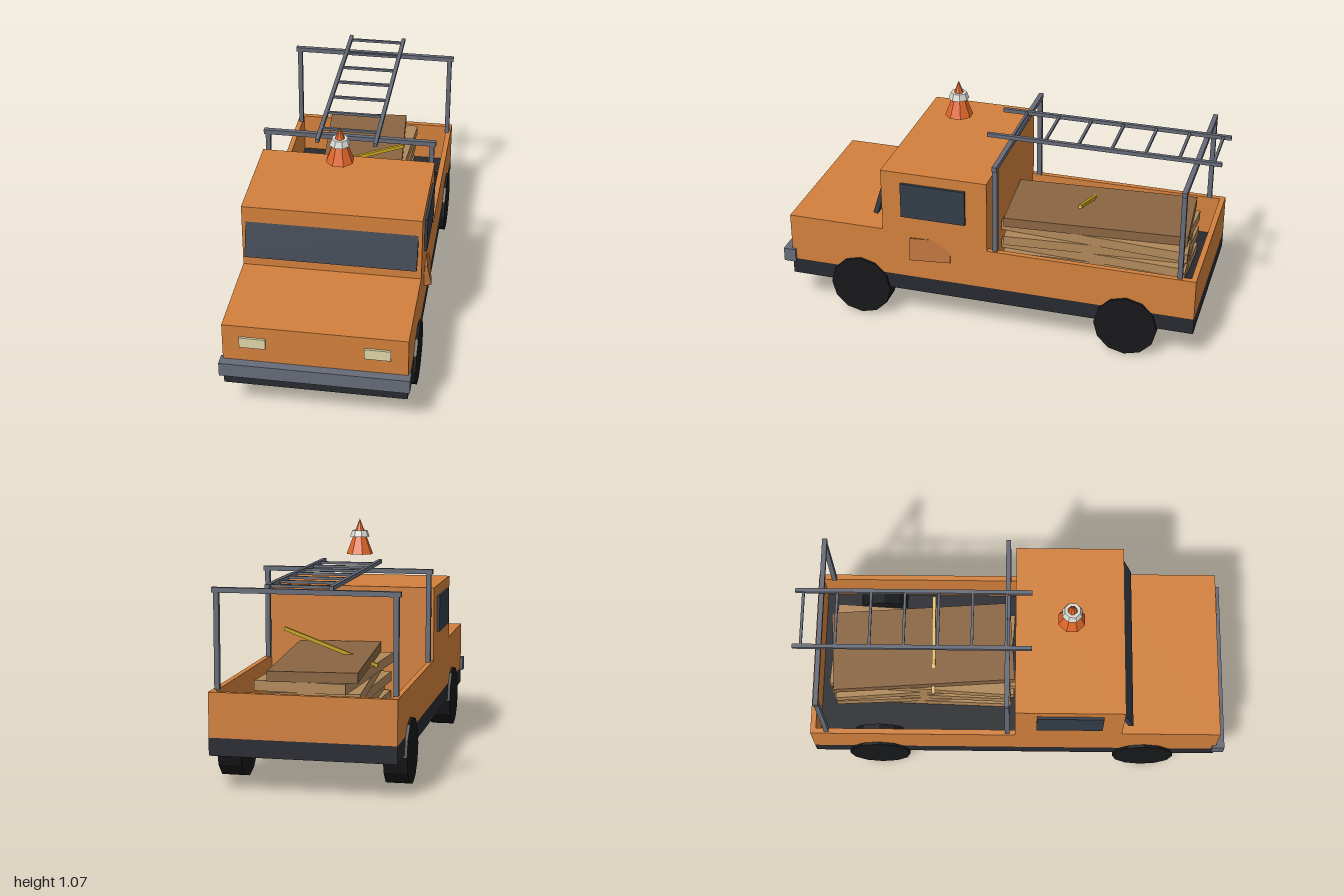
import * as THREE from 'three';

const mat = (color, extra = {}) => new THREE.MeshStandardMaterial({ color, flatShading: true, ...extra });

export function createModel() {
  const model = new THREE.Group();
  // The truck's own centre line sits slightly to the right of the origin
  const truck = new THREE.Group();
  truck.name = 'workTruck';
  truck.position.x = -0.012;
  model.add(truck);

  const paint = mat(0xd2803c), dark = mat(0x282a30), rubber = mat(0x17181a), steel = mat(0x666b78);
  const glass = mat(0x333c48), lampMat = mat(0xddd5a8), boardLight = mat(0xb0885a), boardDark = mat(0x8a6542);
  const dentMat = mat(0xb56d36), strapMat = mat(0xc4a41e), coneMat = mat(0xe0662a), bandMat = mat(0xd8d8d2);

  const add = (name, geometry, material, x, y, z) => {
    const mesh = new THREE.Mesh(geometry, material);
    mesh.name = name;
    mesh.position.set(x, y, z);
    truck.add(mesh);
    return mesh;
  };
  // Box given by its x centre and width, and its y and z ranges
  const box = (name, material, x, w, y0, y1, z0, z1) =>
    add(name, new THREE.BoxGeometry(w, y1 - y0, z1 - z0), material, x, (y0 + y1) / 2, (z0 + z1) / 2);

  // Chassis, hood and cab
  const W = 0.805;
  box('chassis', dark, 0, W, 0.155, 0.232, -0.96, 0.96);
  box('hood', paint, 0, W, 0.232, 0.465, 0.5, 0.96);
  box('cab', paint, 0, W, 0.232, 0.77, 0, 0.5);
  box('frontBumper', steel, 0, 0.83, 0.22, 0.286, 0.942, 1.0);

  // Slanted windshield
  const windshield = add('windshield', new THREE.BoxGeometry(0.77, 0.176, 0.022), glass, 0, 0.617, 0.512);
  windshield.rotation.x = -0.3;

  // Open bed walls
  box('tailgate', paint, 0, W, 0.232, 0.427, -0.96, -0.935);

  for (const side of [-1, 1]) {
    box('bedSide', paint, side * 0.39, 0.025, 0.232, 0.427, -0.935, 0);
    box('sideWindow', glass, side * 0.405, 0.02, 0.55, 0.72, 0.1, 0.405);
    box('headlight', lampMat, side * 0.27, 0.115, 0.36, 0.41, 0.95, 0.97);

    // Wheels
    for (const z of [0.617, -0.652]) {
      const tire = new THREE.CylinderGeometry(0.146, 0.146, 0.104, 12);
      tire.rotateZ(Math.PI / 2);
      add('wheel', tire, rubber, side * 0.363, 0.146, z);
    }
  }

  // Crooked patch on the left door
  const patch = add('doorPatch', new THREE.BoxGeometry(0.04, 0.105, 0.19), dentMat, 0.395, 0.387, 0.272);
  patch.rotation.set(0, 0.13, 0.21);

  // Rack hoops over the bed
  for (const z of [-0.036, -0.885]) {
    for (const side of [-1, 1]) box('rackPost', steel, side * 0.383, 0.022, 0.425, 0.845, z - 0.011, z + 0.011);
    box('rackCrossbar', steel, 0, W, 0.838, 0.86, z - 0.011, z + 0.011);
  }

  // Ladder
  for (const side of [-1, 1]) box('ladderRail', steel, side * 0.134, 0.018, 0.872, 0.89, -1.0, 0.075);
  for (let i = 0; i < 7; i++) {
    const z = -0.963 + i * 0.1535;
    box('ladderRung', steel, 0, 0.26, 0.875, 0.887, z - 0.006, z + 0.006);
  }

  // Stack of loosely fanned boards, top board darkest
  const fan = [-0.03, 0.05, -0.04, 0.08, -0.06, 0.07];
  fan.forEach((turn, i) => {
    const y = 0.24 + i * 0.045, top = i === fan.length - 1;
    const board = box('board', top ? boardDark : boardLight, 0.008, top ? 0.385 : 0.4, y, y + 0.045, -0.865, -0.015);
    board.rotation.y = turn;
  });

  // Tilted strap bar stuck through the top board
  const strap = add('strap', new THREE.BoxGeometry(0.455, 0.016, 0.016), strapMat, 0.002, 0.54, -0.386);
  strap.rotation.z = 0.35;

  // Traffic cone with pale band
  const eighth = Math.PI / 8;
  add('cone', new THREE.ConeGeometry(0.065, 0.17, 8, 1, false, eighth), coneMat, 0, 0.982, 0.252);
  add('coneBand', new THREE.CylinderGeometry(0.037, 0.048, 0.03, 8, 1, false, eighth), bandMat, 0, 0.995, 0.252);

  return model;
}
